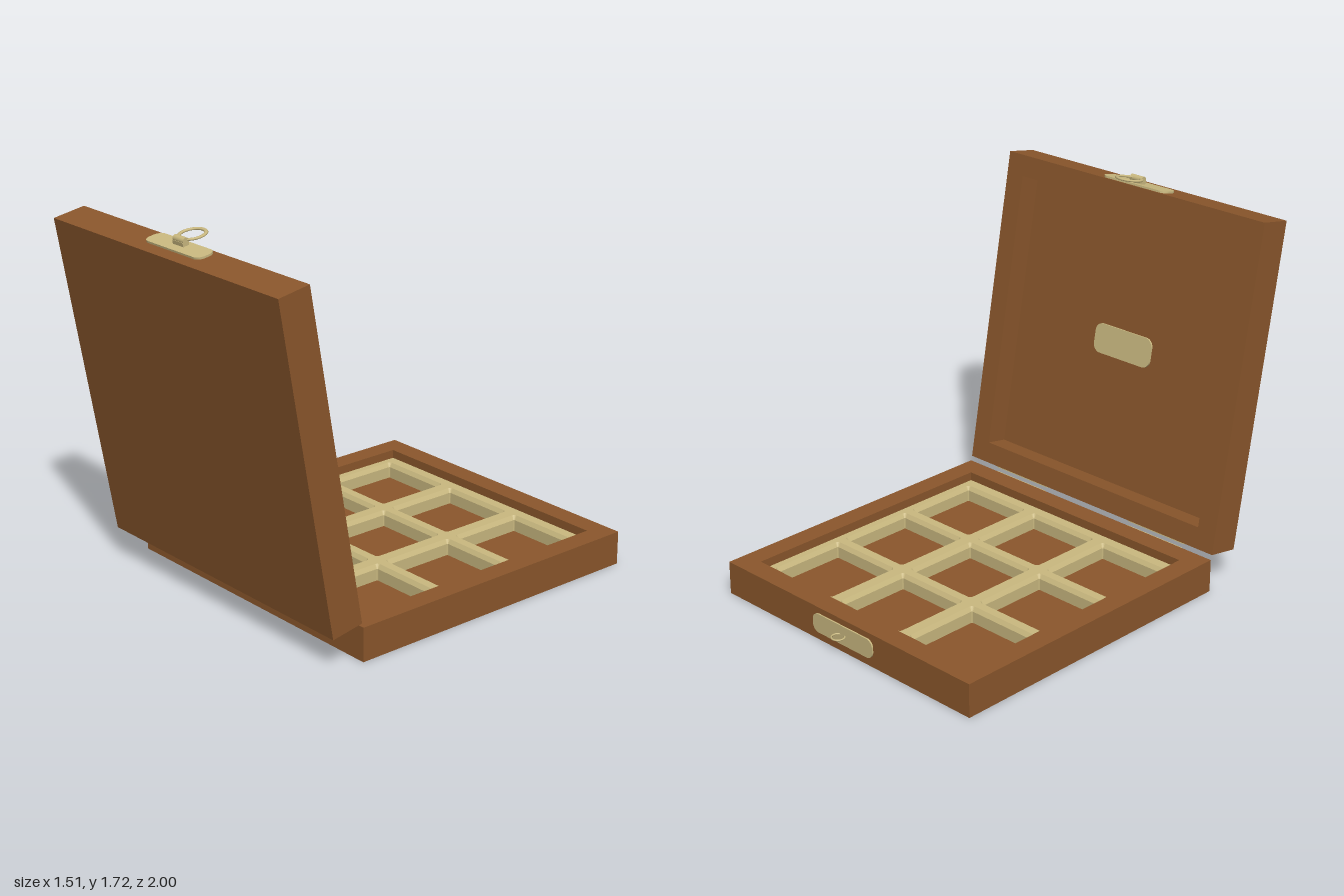
import * as THREE from 'three';

const SIZE = 1.514;      // outer side of the square case
const OPENING = 1.316;   // inner side of the rim
const THICK = 0.156;     // thickness of each half

const wood = new THREE.MeshStandardMaterial({ color: 0x8b572c });
wood.name = 'wood';
const brass = new THREE.MeshStandardMaterial({ color: 0xcab980 });
brass.name = 'pale brass';

function mesh(name, geometry, material, x = 0, y = 0, z = 0) {
  const m = new THREE.Mesh(geometry, material);
  m.name = name;
  m.position.set(x, y, z);
  return m;
}

// Rounded rectangle drawn on a shape or a hole path
function roundRect(path, w, h, r, cx = 0, cy = 0) {
  const x = w / 2, y = h / 2;
  path.moveTo(cx - x + r, cy - y);
  path.lineTo(cx + x - r, cy - y);
  path.absarc(cx + x - r, cy - y + r, r, -Math.PI / 2, 0);
  path.lineTo(cx + x, cy + y - r);
  path.absarc(cx + x - r, cy + y - r, r, 0, Math.PI / 2);
  path.lineTo(cx - x + r, cy + y);
  path.absarc(cx - x + r, cy + y - r, r, Math.PI / 2, Math.PI);
  path.lineTo(cx - x, cy - y + r);
  path.absarc(cx - x + r, cy - y + r, r, Math.PI, Math.PI * 1.5);
  return path;
}

// Thin rounded plate facing +z
function plate(w, h, depth, r = 0.035) {
  return new THREE.ExtrudeGeometry(roundRect(new THREE.Shape(), w, h, r),
    { depth, bevelEnabled: false, curveSegments: 6 });
}

function square(path, side) {
  const s = side / 2;
  path.moveTo(-s, -s);
  path.lineTo(s, -s);
  path.lineTo(s, s);
  path.lineTo(-s, s);
  path.closePath();
  return path;
}

// Shallow box: a panel at z = 0 and a rim rising towards +z
function caseHalf(name, panelThick) {
  const group = new THREE.Group();
  group.name = name;
  const shape = square(new THREE.Shape(), SIZE);
  shape.holes.push(square(new THREE.Path(), OPENING));
  const rim = new THREE.ExtrudeGeometry(shape, { depth: THICK - panelThick, bevelEnabled: false });
  group.add(
    mesh(name + 'Panel', new THREE.BoxGeometry(SIZE, SIZE, panelThick), wood, 0, 0, panelThick / 2),
    mesh(name + 'Rim', rim, wood, 0, 0, panelThick));
  return group;
}

// Nine-cell divider with chamfered cell edges; its outer edge sits inside the rim
function divider() {
  const bevel = 0.012;
  const side = OPENING + 2 * bevel;
  const shape = square(new THREE.Shape(), side);
  for (let i = -1; i <= 1; i++) {
    for (let j = -1; j <= 1; j++) {
      shape.holes.push(roundRect(new THREE.Path(),
        0.382 - 2 * bevel, 0.378 - 2 * bevel, 0.006, i * 0.435, j * 0.42));
    }
  }
  return new THREE.ExtrudeGeometry(shape, {
    depth: 0.065, bevelEnabled: true, bevelSize: bevel, bevelOffset: -bevel,
    bevelThickness: 0.02, bevelSegments: 1, curveSegments: 3,
  });
}

export function createModel() {
  const model = new THREE.Group();
  model.name = 'hingedCase';

  // Lower half with its divider
  const base = caseHalf('base', 0.04);
  base.rotation.x = -Math.PI / 2;
  base.position.set(0, 0, -0.18);
  base.add(mesh('divider', divider(), brass, 0, 0, 0.03));
  model.add(base);

  // Catch plate and small ring on the opening edge
  model.add(mesh('catchPlate', plate(0.375, 0.09, 0.007), brass, 0, 0.083, -0.944));
  const catchRing = mesh('catchRing', new THREE.TorusGeometry(0.029, 0.004, 8, 24), brass, 0, 0.085, -0.967);
  catchRing.rotation.x = Math.PI / 2;
  model.add(catchRing);

  // Open lid, leaning outwards by ten degrees about its lower inner edge
  const lid = new THREE.Group();
  lid.name = 'lid';
  lid.position.set(0, 0.178, 0.584);
  lid.rotation.x = THREE.MathUtils.degToRad(10);
  const shell = caseHalf('lid', 0.049);
  shell.rotation.y = Math.PI;
  shell.position.set(0, SIZE / 2, THICK);
  shell.add(mesh('innerPlate', plate(0.34, 0.14, 0.009, 0.04), brass, 0, 0, 0.049));
  lid.add(shell);
  model.add(lid);

  // Hinge leaves on the base and under the lid
  for (const side of [-1, 1]) {
    model.add(mesh('hingeLeaf', plate(0.375, 0.085, 0.006), brass, side * 0.422, 0.113, 0.576));
    const leaf = mesh('lidHingeLeaf', plate(0.375, 0.085, 0.005), brass, side * 0.422, 0, 0.045);
    leaf.rotation.x = Math.PI / 2;
    lid.add(leaf);
  }

  // Clasp on the free edge of the lid
  const clasp = new THREE.Group();
  clasp.name = 'clasp';
  clasp.position.y = SIZE;
  const claspPlate = mesh('claspPlate', plate(0.375, 0.09, 0.009), brass, 0, 0, 0.053);
  claspPlate.rotation.x = -Math.PI / 2;
  const barrel = mesh('claspBarrel', new THREE.CylinderGeometry(0.016, 0.016, 0.07, 16), brass, 0, 0.028, 0.04);
  barrel.rotation.z = Math.PI / 2;
  const loop = mesh('claspLoop', new THREE.TorusGeometry(0.056, 0.009, 8, 32), brass, 0, 0.031, -0.019);
  loop.rotation.x = Math.PI / 2;
  loop.scale.z = 0.6;
  clasp.add(claspPlate, barrel, loop,
    mesh('claspBlock', new THREE.BoxGeometry(0.07, 0.022, 0.03), brass, 0, 0.015, 0.043));
  lid.add(clasp);

  return model;
}
